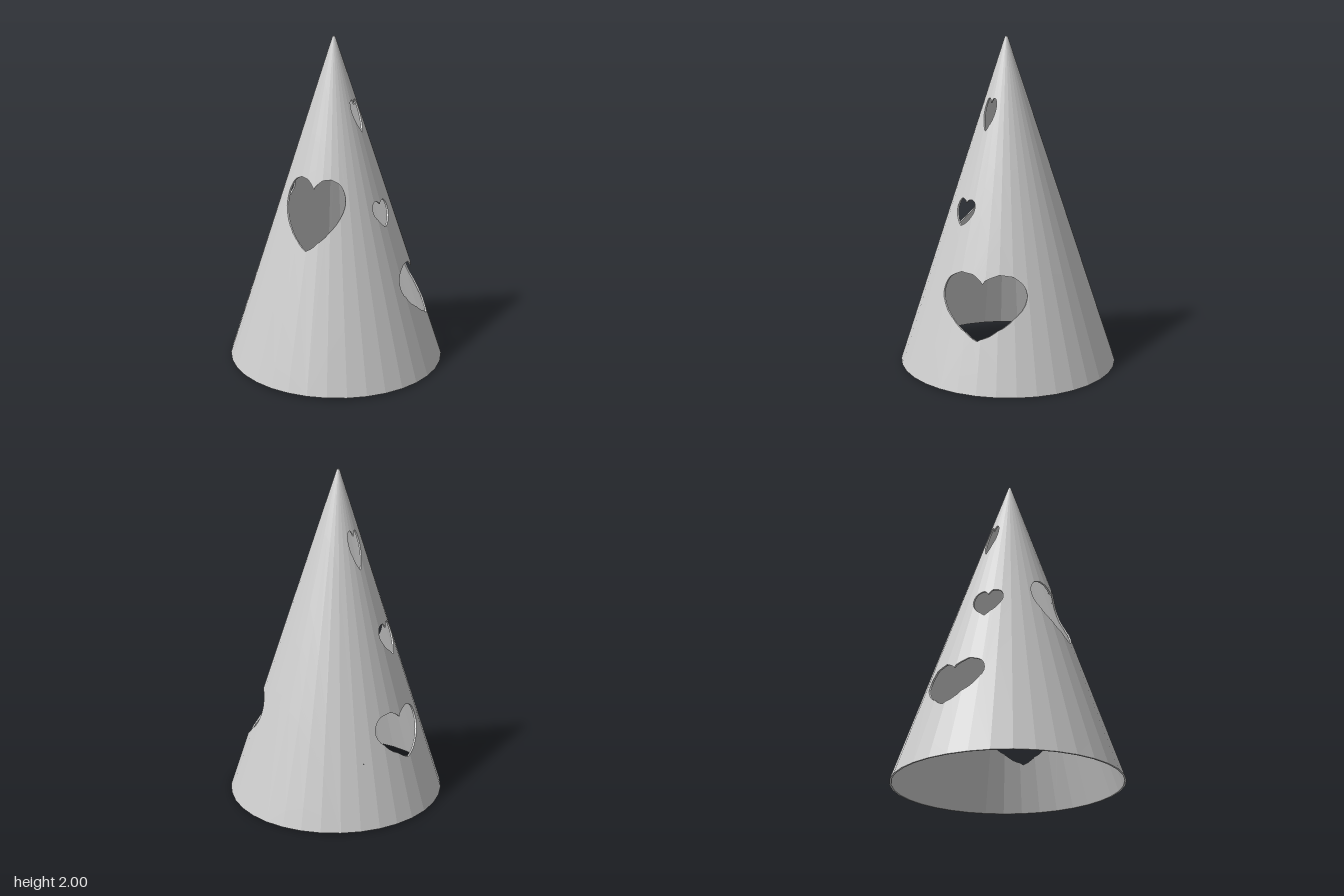
import * as THREE from 'three';

const SIDES = 36, BASE_R = 0.67, TIP_R = 0.008, BASE_Y = 0.01, TOP_Y = 2, WALL = 0.011;
const SLOPE = (TOP_Y - BASE_Y) / (BASE_R - TIP_R);
const STEP = (Math.PI * 2) / SIDES;

// Heart cut-outs: direction they face (x, z), half width, tip height, lobe height
const HEARTS = [
  { dir: [0.335, 0.942], w: 0.187, y0: 0.80, y1: 1.205 },
  { dir: [0.989, -0.155], w: 0.075, y0: 0.905, y1: 1.06 },
  { dir: [0.788, -0.615], w: 0.255, y0: 0.30, y1: 0.66 },
  { dir: [0.97, -0.24], w: 0.043, y0: 1.45, y1: 1.64 },
  { dir: [-1, 0.01], w: 0.044, y0: 1.43, y1: 1.655 },
  { dir: [-0.907, 0.42], w: 0.095, y0: 0.92, y1: 1.105 },
  { dir: [-0.988, 0.15], w: 0.2, y0: 0.345, y1: 0.62 },
];

// Unit heart: tip at (0, 0), width -1..1, height 0..1
function unitHeart() {
  const s = new THREE.Shape();
  s.moveTo(0, 0);
  s.bezierCurveTo(0.35, 0.1, 1, 0.38, 1, 0.64);
  s.bezierCurveTo(1, 0.85, 0.75, 1, 0.45, 1);
  s.bezierCurveTo(0.25, 1, 0.07, 0.93, 0, 0.85);
  s.bezierCurveTo(-0.07, 0.93, -0.25, 1, -0.45, 1);
  s.bezierCurveTo(-0.75, 1, -1, 0.85, -1, 0.64);
  s.bezierCurveTo(-1, 0.38, -0.35, 0.1, 0, 0);
  const pts = s.getPoints(9);
  pts.pop();
  return pts;
}

// Plan outline (x, z) of a heart pushed straight through the cone wall
function heartPlan({ dir, w, y0, y1 }) {
  const d = new THREE.Vector2(...dir).normalize();
  return unitHeart().map((p) => {
    const u = p.x * w;
    const r = TIP_R + (TOP_Y - (y0 + p.y * (y1 - y0))) / SLOPE;
    const s = Math.sqrt(Math.max(r * r - u * u, 0));
    return new THREE.Vector2(d.x * s - d.y * u, d.y * s + d.x * u);
  });
}

function ring(r) {
  return Array.from({ length: SIDES }, (_, i) =>
    new THREE.Vector2(Math.sin(i * STEP) * r, Math.cos(i * STEP) * r));
}

// Lift a plan point onto the faceted cone; inner points are drawn in by the wall thickness
function lift(p, inner) {
  const a = Math.atan2(p.x, p.y);
  const mid = (Math.floor(a / STEP) + 0.5) * STEP;
  const q = p.length() * Math.cos(a - mid) / Math.cos(STEP / 2);
  const y = TOP_Y - (q - TIP_R) * SLOPE;
  const k = inner ? Math.max(q - WALL, 0.0005) / q : 1;
  const z = p.y * k;
  // slight lean of the tip and slope of the rim
  return new THREE.Vector3(p.x * k, y + 0.01 * z * (1 - y / 2), z + 0.009 * y);
}

// Part of a convex polygon on one side of a line through the centre
function clip(poly, n, sign) {
  const out = [];
  poly.forEach((a, i) => {
    const b = poly[(i + 1) % poly.length];
    const da = a.dot(n) * sign, db = b.dot(n) * sign;
    if (da > -1e-7) out.push(a);
    if ((da > 1e-7 && db < -1e-7) || (da < -1e-7 && db > 1e-7)) {
      out.push(a.clone().lerp(b, da / (da - db)));
    }
  });
  return out;
}

function meshFrom(name, points, doubleSided = false) {
  const geo = new THREE.BufferGeometry().setFromPoints(points);
  geo.computeVertexNormals();
  const mesh = new THREE.Mesh(geo, new THREE.MeshStandardMaterial({
    color: 0xcccccc, flatShading: true,
    side: doubleSided ? THREE.DoubleSide : THREE.FrontSide,
  }));
  mesh.name = name;
  return mesh;
}

// Band joining the outer and inner skin along a closed plan outline
function edgeBand(name, outline) {
  const pts = [];
  outline.forEach((a, i) => {
    const b = outline[(i + 1) % outline.length];
    const [ao, bo, ai, bi] = [lift(a), lift(b), lift(a, true), lift(b, true)];
    pts.push(ao, bo, bi, ao, bi, ai);
  });
  return meshFrom(name, pts, true);
}

export function createModel() {
  const group = new THREE.Group();
  group.name = 'heartCutoutCone';

  // Plan of the cone with its holes, cut along every facet line
  const rim = ring(BASE_R), tip = ring(TIP_R), hearts = HEARTS.map(heartPlan);
  const holes = [tip, ...hearts];
  const all = [rim, ...holes].flat();
  let polys = THREE.ShapeUtils.triangulateShape(rim, holes).map((f) => f.map((i) => all[i]));
  for (let i = 0; i < SIDES / 2; i++) {
    const n = new THREE.Vector2(Math.cos(i * STEP), -Math.sin(i * STEP));
    polys = polys.flatMap((p) => [clip(p, n, 1), clip(p, n, -1)])
      .filter((p) => p.length > 2 && Math.abs(THREE.ShapeUtils.area(p)) > 1e-9);
  }

  // Outer and inner skins
  const outer = [], inner = [];
  for (const poly of polys) {
    const c = poly.reduce((s, p) => s.add(p), new THREE.Vector2()).divideScalar(poly.length);
    // nudge toward the middle so points on a facet line stay in this facet
    const on = (p, isInner) => lift(p.clone().lerp(c, 1e-6), isInner);
    const up = THREE.ShapeUtils.area(poly) < 0;
    for (let i = 1; i < poly.length - 1; i++) {
      const t = up ? [poly[0], poly[i], poly[i + 1]] : [poly[0], poly[i + 1], poly[i]];
      if (Math.abs(THREE.ShapeUtils.area(t)) < 1e-10) continue;
      outer.push(...t.map((p) => on(p, false)));
      inner.push(...t.reverse().map((p) => on(p, true)));
    }
  }
  group.add(meshFrom('outerCone', outer), meshFrom('innerCone', inner));

  // Rim and heart edges
  group.add(edgeBand('baseRim', rim));
  hearts.forEach((h, i) => group.add(edgeBand('heartEdge' + (i + 1), h)));

  // Blunt tip
  const top = new THREE.Vector3(0, TOP_Y, 0.018);
  const cap = tip.flatMap((p, i) => [top, lift(p), lift(tip[(i + 1) % SIDES])]);
  group.add(meshFrom('tipCap', cap, true));
  return group;
}
